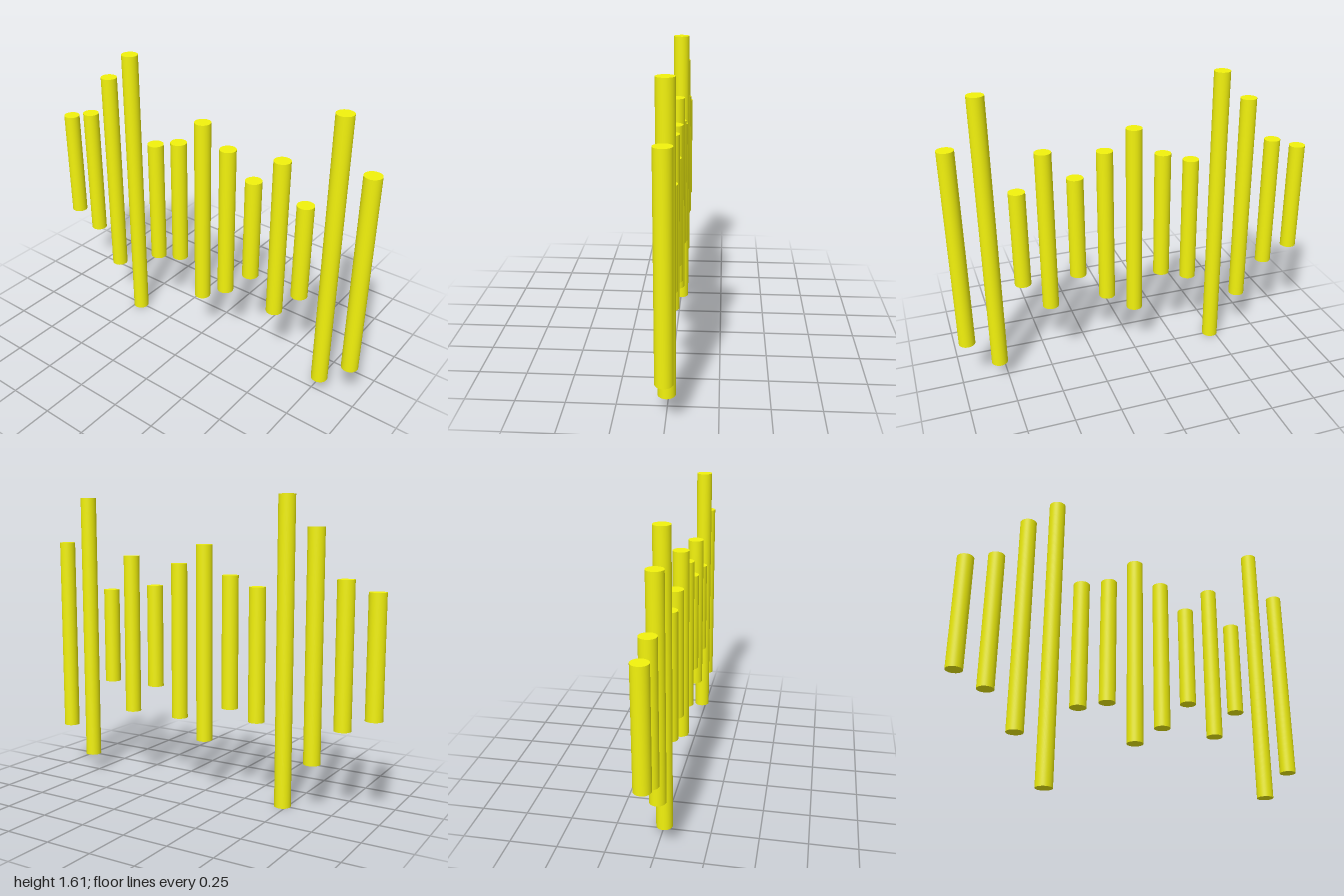
import * as THREE from 'three';

const RADIUS = 0.044;

// Each rod: centre x, bottom y, top y
const RODS = [
  [-0.956, 0.521, 1.145],
  [-0.796, 0.449, 1.2],
  [-0.636, 0.254, 1.451],
  [-0.475, 0, 1.612],
  [-0.315, 0.433, 1.145],
  [-0.154, 0.487, 1.2],
  [0.006, 0.289, 1.358],
  [0.166, 0.397, 1.254],
  [0.327, 0.56, 1.128],
  [0.487, 0.397, 1.288],
  [0.631, 0.56, 1.093],
  [0.791, 0.094, 1.612],
  [0.956, 0.254, 1.358],
];

export function createModel() {
  const group = new THREE.Group();
  group.name = 'rodRow';
  const yellow = new THREE.MeshStandardMaterial({ color: 0xf2f20d });

  // Row of upright round rods of varying length and height
  RODS.forEach(([x, bottom, top], i) => {
    const geometry = new THREE.CylinderGeometry(RADIUS, RADIUS, top - bottom, 48);
    const rod = new THREE.Mesh(geometry, yellow);
    rod.name = `rod${i + 1}`;
    rod.position.set(x, (bottom + top) / 2, 0);
    group.add(rod);
  });

  return group;
}
